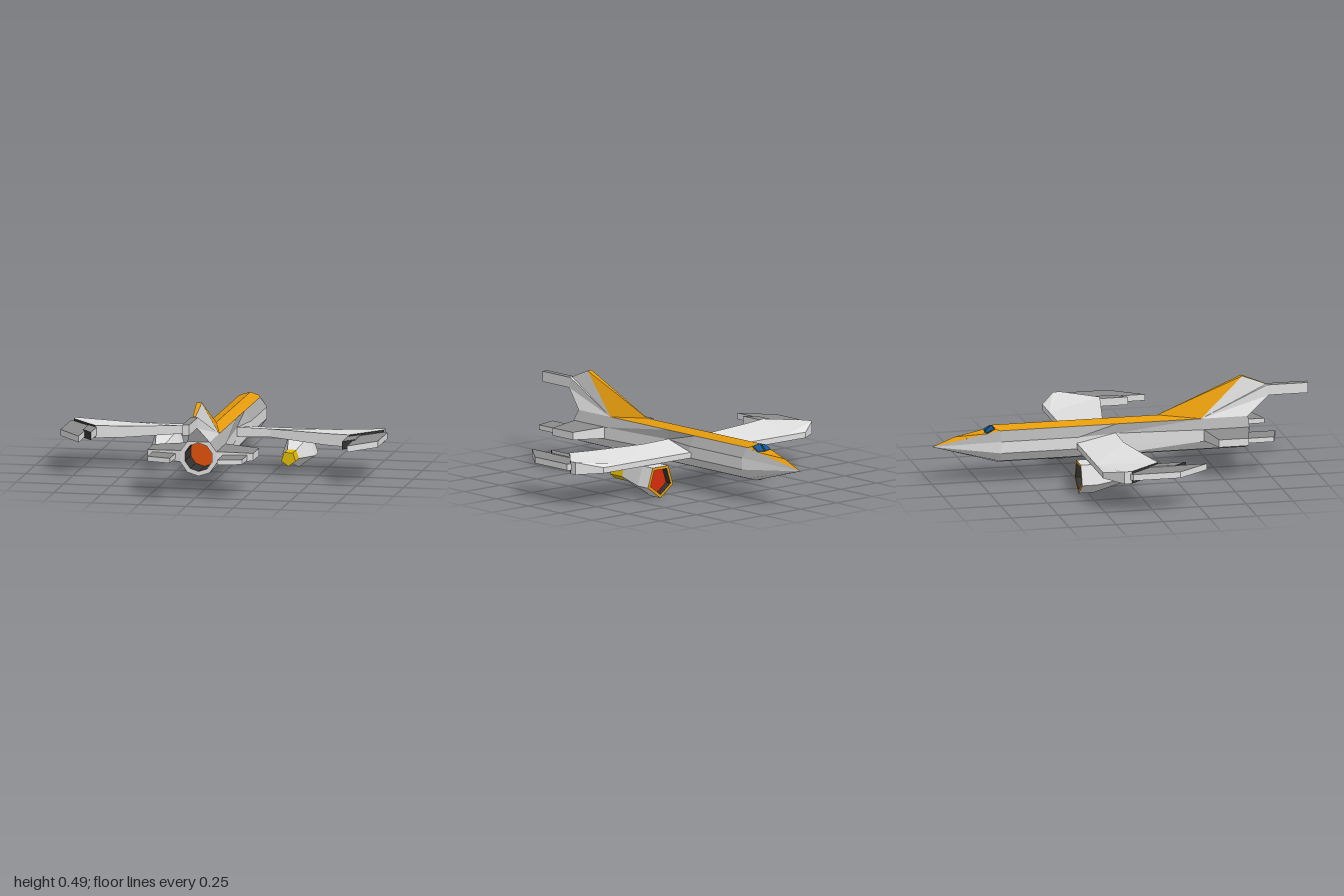
import * as THREE from 'three';

const paint = (name, color, side = THREE.FrontSide) => {
  const m = new THREE.MeshStandardMaterial({ color, side });
  m.name = name;
  return m;
};

export function createModel() {
  const light = paint('lightGrey', 0xe0e0e0);
  const soft = paint('softGrey', 0xa8a8a8);
  const mid = paint('midGrey', 0x8c8c8c);
  const dark = paint('darkGrey', 0x333333, THREE.DoubleSide);
  const orange = paint('orange', 0xe69c0c);
  const flame = paint('flameRed', 0xe2500c);
  const intakeRed = paint('intakeRed', 0xd42c0c);
  const blue = paint('windowBlue', 0x0f5ca0);
  const yellow = paint('yellow', 0xe0bc04);

  const model = new THREE.Group();
  model.name = 'jetPlane';

  const add = (name, geo, mat, parent = model) => {
    const g = geo.index ? geo.toNonIndexed() : geo;
    g.computeVertexNormals(); // one normal per facet
    const mesh = new THREE.Mesh(g, mat);
    mesh.name = name;
    parent.add(mesh);
    return mesh;
  };
  const neg = ([x, y, z]) => [-x, y, z];
  const turn = ([first, ...rest]) => [first, ...rest.reverse()]; // other winding, same fan centre
  const flip = poly => turn(poly.map(neg));

  // Mesh from a few polygons, each cut into a fan, optionally mirrored in x
  const faces = (name, mat, polys, mirror = false) => {
    const all = mirror ? [...polys, ...polys.map(flip)] : polys;
    const pos = [];
    for (const p of all)
      for (let i = 1; i < p.length - 1; i++) pos.push(...p[0], ...p[i], ...p[i + 1]);
    const g = new THREE.BufferGeometry();
    g.setAttribute('position', new THREE.Float32BufferAttribute(pos, 3));
    return add(name, g, mat);
  };

  // Mirrored slab from corners [x, z, bottom, top]; edges in darkEdges get the dark colour
  const slab = (name, pts, topMat, underMat, darkEdges = []) => {
    const low = pts.map(([x, z, b]) => [x, b, z]);
    const high = pts.map(([x, z, , t]) => [x, t, z]);
    const sides = [[], []];
    pts.forEach((_, i) => {
      const j = (i + 1) % pts.length;
      sides[darkEdges.includes(i) ? 1 : 0].push([low[i], high[i], high[j], low[j]]);
    });
    faces(name + 'Top', topMat, [turn(high)], true);
    faces(name + 'Underside', underMat, [low], true);
    faces(name + 'Edge', light, sides[0], true);
    if (sides[1].length) faces(name + 'HingeEdge', dark, sides[1], true);
  };
  const flat = (pts, b, t) => pts.map(([x, z]) => [x, z, b, t]);

  // Fuselage: ten-sided loft with a pinched waist behind the wings
  const ring = (z, waist) => Array.from({ length: 11 }, (_, k) => {
    const a = k * Math.PI / 5;
    const x = Math.sin(a) * 0.1;
    return [Math.max(-waist, Math.min(waist, x)), 0.2 + Math.cos(a) * 0.1, z];
  });
  const rings = [[-0.65, 1], [-0.24, 1], [-0.03, 0.06], [0.42, 1], [0.67, 1]].map(r => ring(...r));
  const hull = [], shoulders = [], spine = [];
  const bandOf = k => (k === 1 || k === 8 ? shoulders : hull);
  for (let i = 0; i < rings.length - 1; i++)
    for (let k = 0; k < 10; k++) {
      const quad = [rings[i][k], rings[i + 1][k], rings[i + 1][k + 1], rings[i][k + 1]];
      ((k === 0 || k === 9) && i < 3 ? spine : bandOf(k)).push(quad);
    }
  const tip = [0, 0.2, -1];
  for (let k = 1; k < 9; k++) bandOf(k).push([tip, rings[0][k], rings[0][k + 1]]);
  faces('fuselage', light, hull);
  faces('fuselageShoulders', soft, shoulders);
  faces('spine', orange, spine);

  // Nose top and windscreen
  const [P0, S1] = rings[0];
  const T0 = [0, 0.3, -0.68], T1 = [0.045, 0.288, -0.672];
  const W1 = [0.048, 0.266, -0.715], C = [0, 0.262, -0.722], D = [0, 0.247, -0.88];
  faces('noseTop', orange, [[T0, P0, S1, T1], [T1, S1, W1], [D, C, W1], [tip, D, W1]], true);
  const screen = [C, T0, T1, W1];
  faces('windscreenFrame', dark, [screen], true);
  const mean = [0, 1, 2].map(i => screen.reduce((s, p) => s + p[i] / 4, 0));
  const lift = [0.001, 0.003, -0.003];
  faces('windscreen', blue, [screen.map(p => p.map((v, i) => mean[i] + (v - mean[i]) * 0.8 + lift[i]))], true);

  // Tail fin with rear boom
  const F0 = [0, 0.3, 0.2], B1 = rings[3][1], B2 = rings[4][1];
  const A1 = [0.014, 0.485, 0.65], V = [0.007, 0.433, 0.78];
  const U = [0.018, 0.43, 0.78], L = [0.018, 0.375, 0.79];
  faces('finLeadingSides', orange, [[F0, A1, B1]], true);
  faces('finRidge', orange, [[F0, neg(A1), A1], [neg(A1), neg(V), V, A1]]);
  faces('finSides', light, [[B1, A1, V, U, L, B2]], true);
  faces('finRear', light, [[L, neg(L), neg(B2), B2]]);
  const boom = new THREE.BoxGeometry(0.036, 0.055, 0.22).translate(0, 0.4025, 0.89);
  add('tailBoom', boom, [light, light, mid, light, light, light]);

  // Main exhaust
  add('exhaustRim', new THREE.RingGeometry(0.075, 0.1, 10, 1, Math.PI / 2).translate(0, 0.2, 0.67), light);
  add('exhaustDuct', new THREE.CylinderGeometry(0.075, 0.075, 0.16, 10, 1, true)
    .rotateX(Math.PI / 2).translate(0, 0.2, 0.59), dark);
  add('exhaustGlow', new THREE.CircleGeometry(0.075, 10, Math.PI / 2).translate(0, 0.2, 0.52), flame);

  // Wings: inner panel, outer panel with a dark slanted hinge edge
  slab('innerWing', [
    [0.24, -0.035, 0.187, 0.23], [0.03, -0.035, 0.182, 0.235], [0.03, -0.25, 0.17, 0.2],
    [0.54, -0.25, 0.17, 0.2], [0.54, 0.024, 0.167, 0.228]], light, dark);
  slab('outerWing', [
    [0.54, -0.25, 0.17, 0.2], [0.7, -0.25, 0.17, 0.2], [0.82, -0.165, 0.165, 0.23],
    [0.82, -0.125, 0.165, 0.23], [0.67, 0.05, 0.165, 0.23], [0.54, 0.024, 0.167, 0.228]], light, light, [3]);

  // Swept wingtip blades
  slab('outerTipBlade', flat([[0.81, -0.14], [0.84, -0.12], [0.84, 0.13], [0.71, 0.3], [0.71, 0]],
    0.185, 0.218), mid, light);
  slab('innerTipBlade', flat([[0.72, -0.01], [0.72, 0.13], [0.665, 0.2], [0.665, 0.05]],
    0.18, 0.222), mid, light, [1]);

  // Tailplanes and elevators
  slab('tailplane', [
    [0.08, 0.425, 0.17, 0.232], [0.28, 0.465, 0.182, 0.222],
    [0.28, 0.625, 0.182, 0.222], [0.08, 0.667, 0.17, 0.232]], mid, light);
  slab('elevator', flat([[0.125, 0.62], [0.25, 0.6], [0.25, 0.765], [0.125, 0.8]], 0.187, 0.213), mid, light);

  // Five-sided engine pods under the wings
  const tube = (rFront, rBack, z0, z1, open) =>
    new THREE.CylinderGeometry(rBack, rFront, z1 - z0, 5, 1, open)
      .rotateX(Math.PI / 2).translate(0, 0, (z0 + z1) / 2);
  for (const [side, s] of [['left', 1], ['right', -1]]) {
    const pod = new THREE.Group();
    pod.name = side + 'Engine';
    pod.position.set(s * 0.35, 0.0915, 0);
    add('nacelle', tube(0.0915, 0.0915, -0.3, -0.22, true), light, pod);
    add('nacelleTaper', tube(0.0915, 0.04, -0.22, -0.04, true), light, pod);
    add('nozzle', tube(0.04, 0.04, -0.045, 0.05, false), yellow, pod);
    add('intakeLip', new THREE.RingGeometry(0.073, 0.0915, 5, 1, -Math.PI / 2)
      .rotateY(Math.PI).translate(0, 0, -0.3), orange, pod);
    add('intakeDuct', tube(0.073, 0.073, -0.3, -0.26, true), dark, pod);
    add('intakeFace', new THREE.CircleGeometry(0.073, 5, -Math.PI / 2)
      .rotateY(Math.PI).translate(0, 0, -0.265), intakeRed, pod);
    model.add(pod);
  }
  return model;
}
